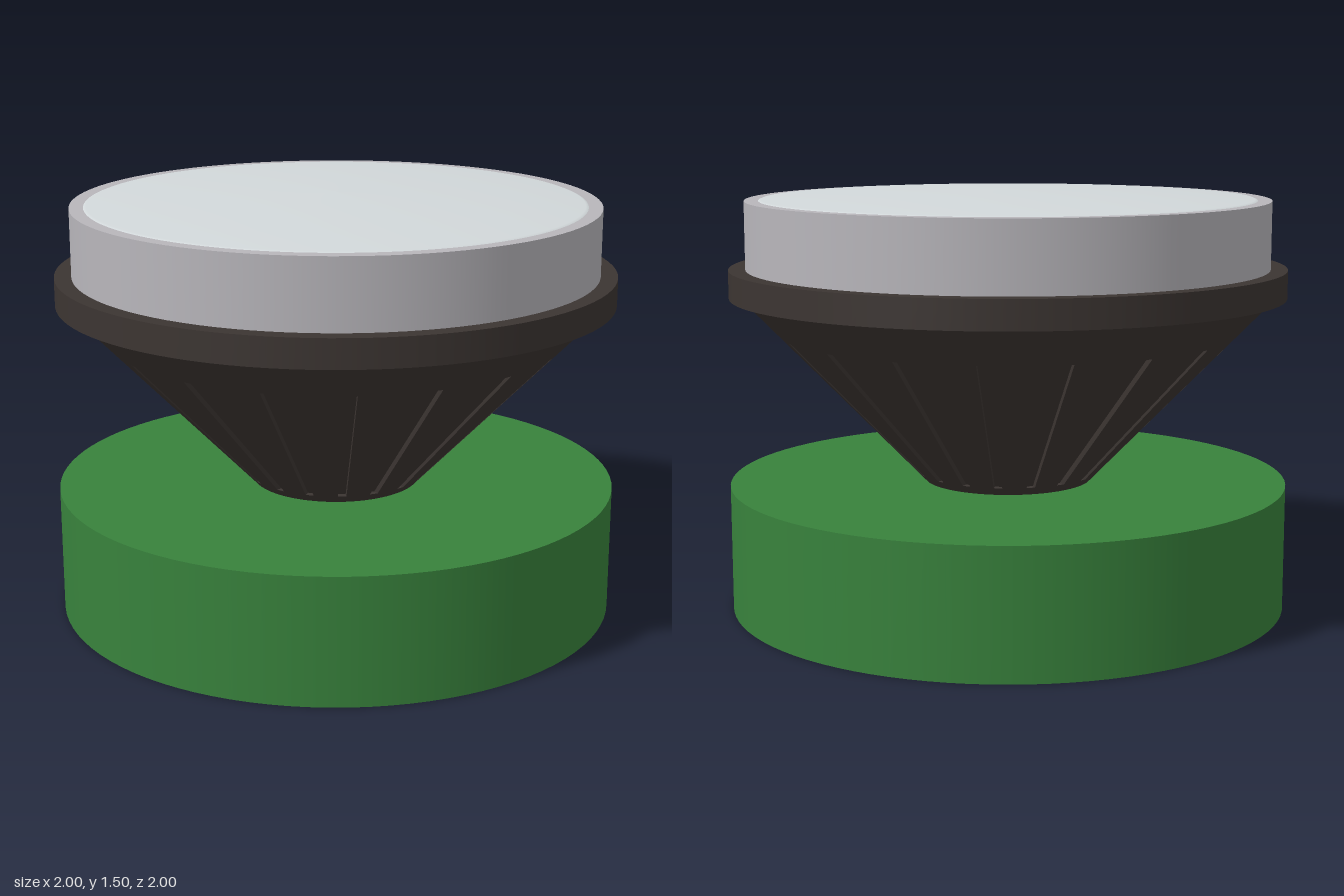
import * as THREE from 'three';
import { toCreasedNormals } from 'three/addons/utils/BufferGeometryUtils.js';

const GROOVES = 18;

// Conical body with vertical slots sunk into its wall
function groovedCone(y0, r0, y1, r1, slotLow, slotHigh, slotWidth, depth) {
  // [height, whether the slot is cut at this ring]
  const rings = [[y0, 0], [slotLow, 0], [slotLow, 1], [slotHigh, 1], [slotHigh, 0], [y1, 0]];
  const sector = (Math.PI * 2) / GROOVES;
  const positions = [], index = [];
  let columns = 0;
  for (const [y, cut] of rings) {
    const r = r0 + ((r1 - r0) * (y - y0)) / (y1 - y0);
    const half = slotWidth / 2 / r;
    columns = 0;
    const put = (a, radius) => {
      positions.push(radius * Math.sin(a), y, radius * Math.cos(a));
      columns++;
    };
    for (let g = 0; g < GROOVES; g++) {
      const a = g * sector;
      put(a - half, r);
      put(a - half, r - cut * depth);
      put(a + half, r - cut * depth);
      put(a + half, r);
      for (let k = 1; k < 4; k++) put(a + half + ((sector - 2 * half) * k) / 4, r);
    }
  }
  for (let j = 0; j < rings.length - 1; j++) {
    for (let i = 0; i < columns; i++) {
      const n = (i + 1) % columns;
      const a = j * columns + i, b = j * columns + n;
      index.push(a, b, b + columns, a, b + columns, a + columns);
    }
  }
  const geometry = new THREE.BufferGeometry();
  geometry.setAttribute('position', new THREE.Float32BufferAttribute(positions, 3));
  geometry.setIndex(index);
  return toCreasedNormals(geometry, 0.5);
}

export function createModel() {
  const group = new THREE.Group();
  const green = new THREE.MeshStandardMaterial({ color: 0x38823c });
  const dark = new THREE.MeshStandardMaterial({ color: 0x3c3532 });
  const grey = new THREE.MeshStandardMaterial({ color: 0xb8b6bb });
  const pale = new THREE.MeshStandardMaterial({ color: 0xd2d8da });

  const add = (name, geometry, material, y = 0) => {
    const mesh = new THREE.Mesh(geometry, material);
    mesh.name = name;
    mesh.position.y = y;
    group.add(mesh);
  };
  const disc = (name, r, low, high, material) =>
    add(name, new THREE.CylinderGeometry(r, r, high - low, 96), material, (low + high) / 2);

  disc('base', 1, 0, 0.45, green);
  add('groovedBody', groovedCone(0.45, 0.3, 1.12, 0.945, 0.48, 0.985, 0.03, 0.025), dark);
  disc('flange', 0.99, 1.12, 1.22, dark);
  disc('headRing', 0.93, 1.22, 1.46, grey);

  // Shallow domed cover
  const dome = [[0.88, 1.46], [0.87, 1.464], [0.66, 1.476], [0.44, 1.486], [0.22, 1.492], [0, 1.495]];
  add('lens', new THREE.LatheGeometry(dome.map(([r, y]) => new THREE.Vector2(r, y)), 96), pale);

  return group;
}
